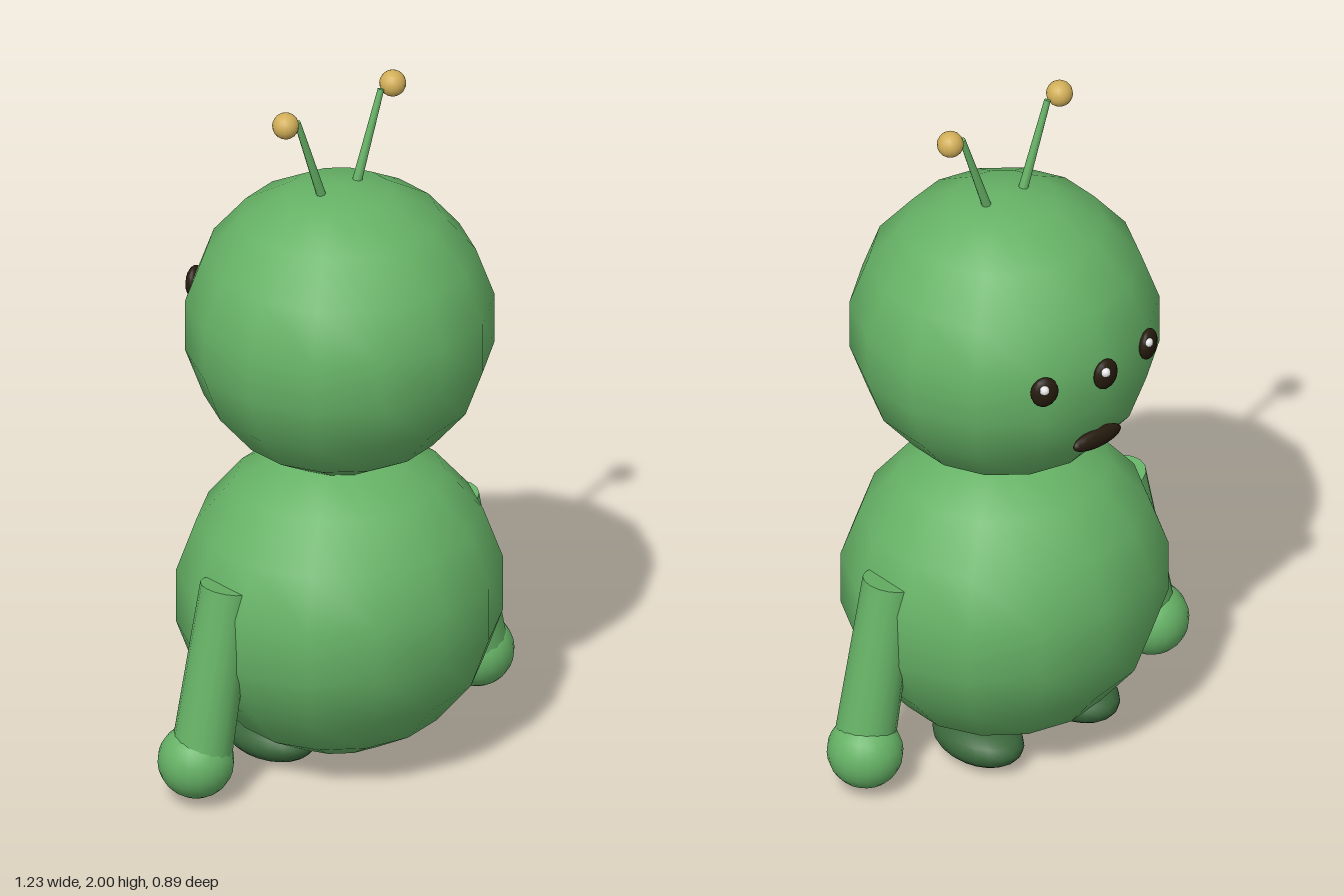
import * as THREE from 'three';

const material = (name, color) => {
  const m = new THREE.MeshStandardMaterial({ color });
  m.name = name;
  return m;
};

export function createModel() {
  const model = new THREE.Group();
  model.name = 'alien';
  const skin = material('skinGreen', 0x66b266);
  const footGreen = material('footGreen', 0x3a673b);
  const gold = material('antennaGold', 0xd1ae58);
  const dark = material('faceDark', 0x261b0e);
  const white = material('eyeWhite', 0xeeeeee);

  // Ellipsoid with given centre and half sizes
  function ball(name, mat, pos, radii, w = 20, h = 14, parent = model) {
    const geo = new THREE.SphereGeometry(1, w, h);
    geo.rotateY(Math.PI / 2); // a column of corners faces front and back
    geo.scale(...radii);
    const mesh = new THREE.Mesh(geo, mat);
    mesh.name = name;
    mesh.position.set(...pos);
    parent.add(mesh);
    return mesh;
  }

  // Tapered rod from a to b
  function rod(name, mat, a, b, ra, rb, sides) {
    const start = new THREE.Vector3(...a), end = new THREE.Vector3(...b);
    const dir = end.clone().sub(start);
    const mesh = new THREE.Mesh(new THREE.CylinderGeometry(rb, ra, dir.length(), sides), mat);
    mesh.name = name;
    mesh.position.copy(start).lerp(end, 0.5);
    mesh.quaternion.setFromUnitVectors(new THREE.Vector3(0, 1, 0), dir.normalize());
    model.add(mesh);
  }

  // Coarse round body and head
  ball('body', skin, [0, 0.483, 0.012], [0.466, 0.455, 0.438], 14, 9);
  ball('head', skin, [0, 1.301, 0.012], [0.43, 0.424, 0.43], 14, 9);

  // Paired limbs and antennae
  for (const [side, s] of [['left', 1], ['right', -1]]) {
    rod(side + 'Arm', skin, [s * 0.41, 0.63, 0.012], [s * 0.502, 0.16, 0.01], 0.076, 0.084, 16);
    ball(side + 'Hand', skin, [s * 0.513, 0.125, -0.003], [0.104, 0.104, 0.107]);
    ball(side + 'Foot', footGreen, [s * 0.172, 0.068, -0.08], [0.105, 0.064, 0.15]);
    rod(side + 'AntennaStalk', skin, [s * 0.055, 1.68, 0.01], [s * 0.153, 1.96, 0.01], 0.014, 0.009, 8);
    ball(side + 'AntennaTip', gold, [s * 0.196, 1.964, 0.01], [0.037, 0.037, 0.037], 16, 12);
  }

  // Three eyes across the face, each with a small glint
  for (const [name, x, z, turn] of [['left', 0.186, -0.375, -0.4], ['middle', 0, -0.414, 0], ['right', -0.186, -0.375, 0.4]]) {
    const eye = ball(name + 'Eye', dark, [x, 1.342, z], [0.04, 0.046, 0.021], 14, 10);
    eye.rotation.y = turn;
    ball(name + 'Glint', white, [x + 0.013, 1.36, z - 0.016], [0.014, 0.014, 0.014], 10, 8);
  }

  // Wide mouth
  ball('mouth', dark, [0, 1.116, -0.378], [0.085, 0.029, 0.021], 18, 10);

  return model;
}
